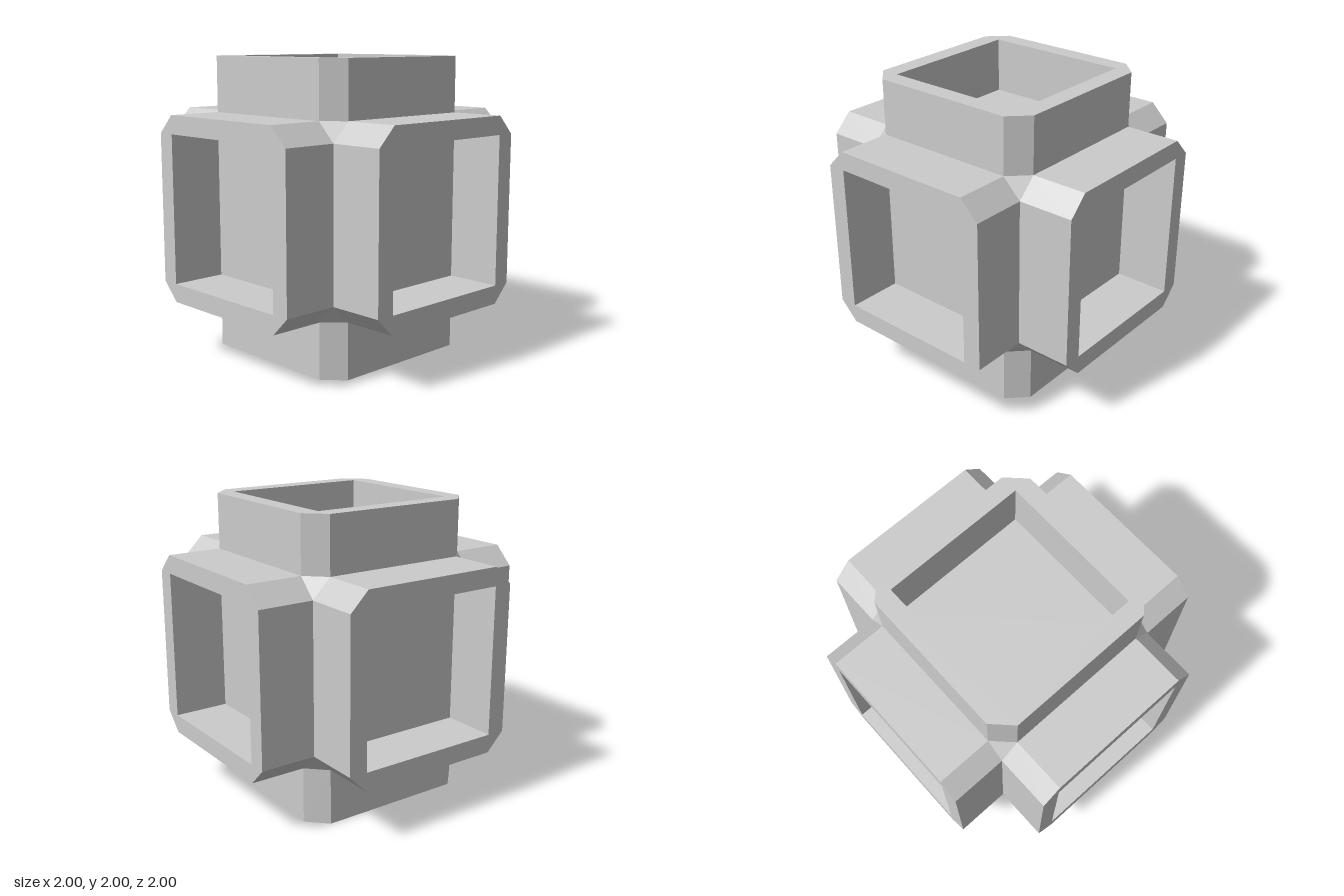
import * as THREE from 'three';

const OUT = 0.625, IN = 0.5, END = 1; // half width, pocket half width, arm end

const material = new THREE.MeshStandardMaterial({ color: 0xcccccc, flatShading: true });

function meshFrom(positions, name) {
  const geometry = new THREE.BufferGeometry();
  geometry.setAttribute('position', new THREE.Float32BufferAttribute(positions, 3));
  geometry.computeVertexNormals();
  const mesh = new THREE.Mesh(geometry, material);
  mesh.name = name;
  return mesh;
}

// Eight-point loop; a and b are the long and short offsets of each side
const loop = (a, b, z) => [
  [a, -b, z], [a, b, z], [b, a, z], [-b, a, z],
  [-a, b, z], [-a, -b, z], [-b, -a, z], [b, -a, z],
];

// Hollow arm along +z: outer walls, rim, pocket walls, pocket floor
function armPositions() {
  const rings = [
    loop(OUT, IN, OUT), loop(OUT, IN, END),
    loop(IN, IN, END), loop(IN, IN, OUT), loop(0, 0, OUT),
  ];
  const positions = [];
  const same = (p, q) => p.every((v, k) => v === q[k]);
  const tri = (a, b, c) => {
    if (!same(a, b) && !same(b, c) && !same(a, c)) positions.push(...a, ...b, ...c);
  };
  for (let r = 0; r < rings.length - 1; r++) {
    for (let i = 0; i < 8; i++) {
      const j = (i + 1) % 8;
      tri(rings[r][i], rings[r][j], rings[r + 1][j]);
      tri(rings[r][i], rings[r + 1][j], rings[r + 1][i]);
    }
  }
  return positions;
}

export function createModel() {
  const model = new THREE.Group();
  model.name = 'sixWayHollowBlock';

  // Six identical arms
  const positions = armPositions();
  const q = Math.PI / 2;
  const arms = [
    ['frontArm', 0, 0], ['backArm', 0, 2 * q], ['leftArm', 0, q],
    ['rightArm', 0, -q], ['topArm', -q, 0], ['bottomArm', q, 0],
  ];
  for (const [name, rx, ry] of arms) {
    const arm = meshFrom(positions, name);
    arm.rotation.set(rx, ry, 0);
    arm.position.y = 1;
    model.add(arm);
  }

  // Small triangular facets where three arms meet
  const corners = [];
  for (const x of [-1, 1]) for (const y of [-1, 1]) for (const z of [-1, 1]) {
    const a = [IN * x, OUT * y, OUT * z];
    const b = [OUT * x, IN * y, OUT * z];
    const c = [OUT * x, OUT * y, IN * z];
    corners.push(...(x * y * z > 0 ? [a, b, c] : [a, c, b]).flat());
  }
  const facets = meshFrom(corners, 'cornerFacets');
  facets.position.y = 1;
  model.add(facets);

  return model;
}
